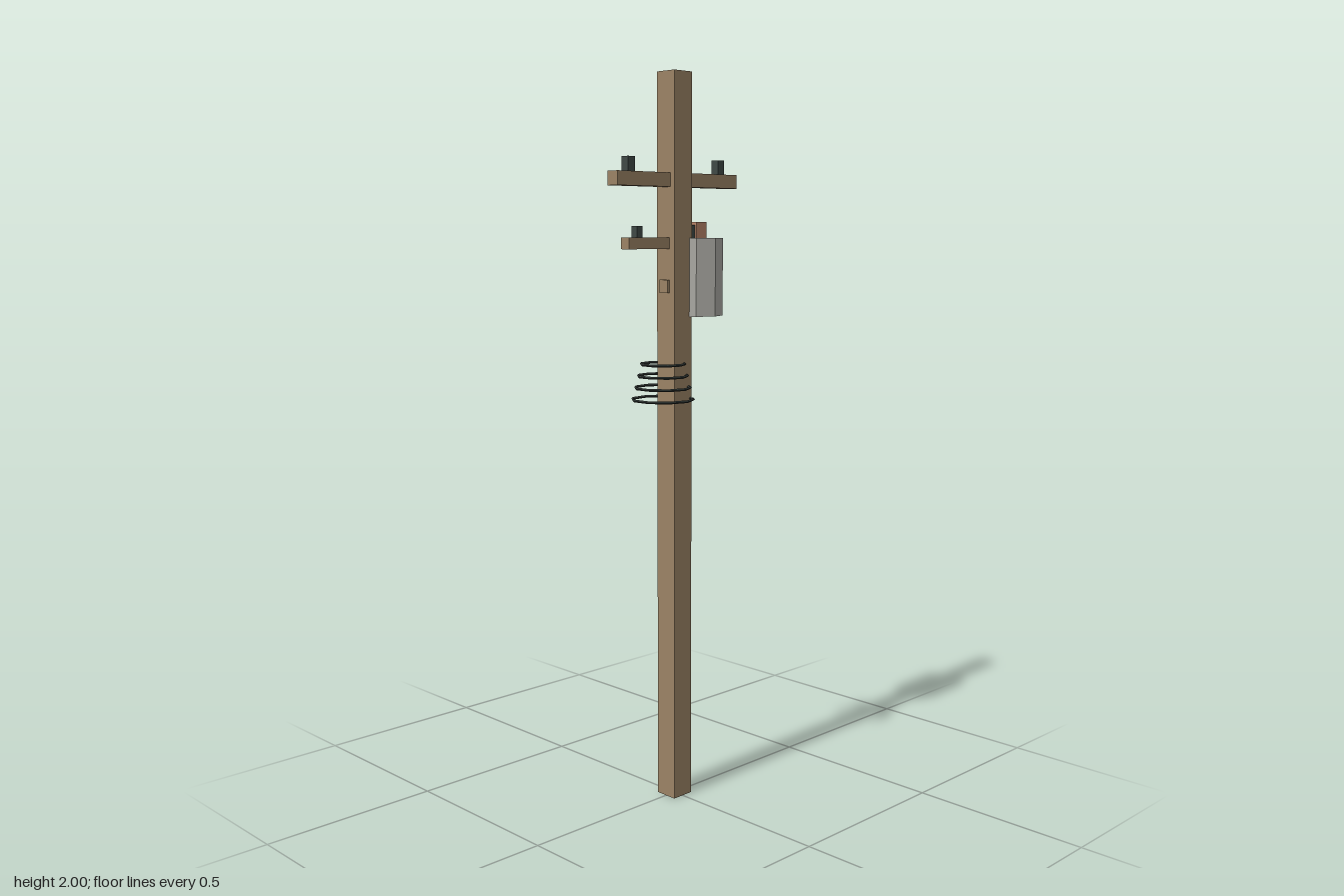
import * as THREE from 'three';

export function createModel() {
  const group = new THREE.Group();
  group.name = 'utilityPole';

  const material = (name, color) => {
    const m = new THREE.MeshStandardMaterial({ color, flatShading: true });
    m.name = name;
    return m;
  };
  const wood = material('wood', 0x9b8365);
  const steel = material('greySteel', 0xaaa9a3);
  const ceramic = material('darkCeramic', 0x3f4946);
  const cable = material('blackCable', 0x2f3533);
  const copper = material('copper', 0xb98569);

  const add = (name, geometry, mat, x, y, z = 0) => {
    const mesh = new THREE.Mesh(geometry, mat);
    mesh.name = name;
    mesh.position.set(x, y, z);
    group.add(mesh);
  };
  // Box given by its x and y limits and its depth, centred on z = 0
  const addBox = (name, mat, x0, x1, y0, y1, depth) =>
    add(name, new THREE.BoxGeometry(x1 - x0, y1 - y0, depth), mat, (x0 + x1) / 2, (y0 + y1) / 2);

  // Square post and its two arms
  addBox('post', wood, -0.033, 0.033, 0, 2, 0.066);
  addBox('upperCrossarm', wood, -0.222, 0.222, 1.7, 1.737, 0.038);
  addBox('lowerArm', wood, -0.18, -0.02, 1.537, 1.567, 0.03);

  // Insulators standing on the arms
  for (const x of [-0.167, 0.167])
    addBox('upperInsulator', ceramic, x - 0.0125, x + 0.0125, 1.737, 1.775, 0.025);
  addBox('lowerInsulator', ceramic, -0.147, -0.127, 1.567, 1.597, 0.02);

  // Eight-sided transformer with its terminal
  add('transformerTank', new THREE.CylinderGeometry(0.073, 0.073, 0.21, 8), steel, 0.083, 1.46);
  addBox('transformerTerminal', copper, 0.065, 0.103, 1.565, 1.608, 0.038);
  addBox('terminalClip', ceramic, 0.055, 0.065, 1.565, 1.6, 0.025);

  // Small plate on the side of the post
  addBox('sidePlate', wood, -0.041, -0.033, 1.42, 1.455, 0.03);

  // Nine-sided cable loops, widening downward
  for (let i = 0; i < 4; i++) {
    const loop = new THREE.TorusGeometry(0.0845 - i * 0.008, 0.0037, 4, 9);
    loop.rotateX(Math.PI / 2);
    add('cableLoop', loop, cable, -0.045, 1.133 + i * 0.032);
  }

  return group;
}
